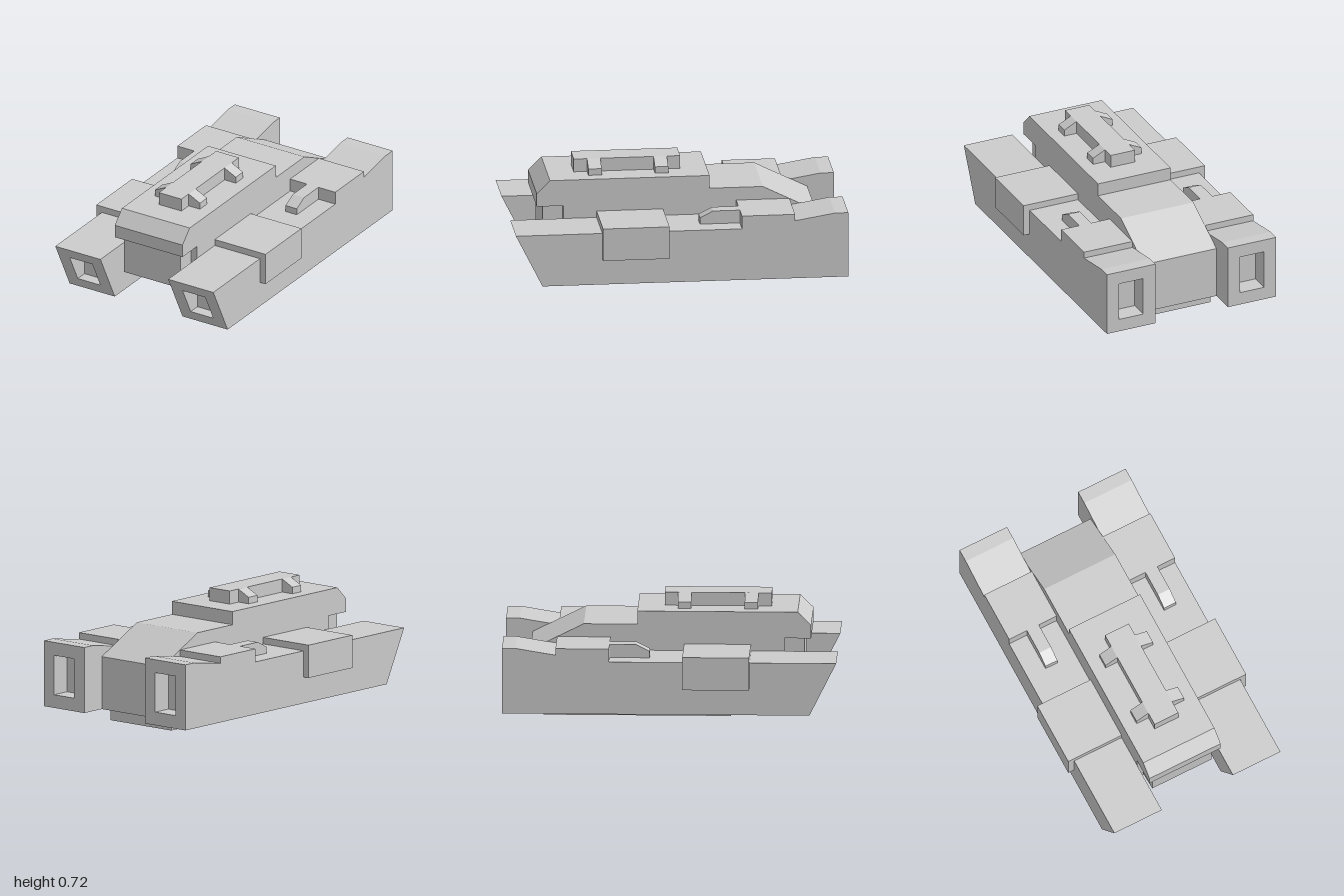
import * as THREE from 'three';

const material = new THREE.MeshStandardMaterial({ color: 0xcccccc, flatShading: true });

function extrude(points, depth) {
  const shape = new THREE.Shape(points.map(([a, b]) => new THREE.Vector2(a, b)));
  return new THREE.ExtrudeGeometry(shape, { depth, bevelEnabled: false });
}

function add(parent, name, geometry) {
  const mesh = new THREE.Mesh(geometry, material);
  mesh.name = name;
  parent.add(mesh);
  return mesh;
}

// Side profile of [z, y] points, spanning x0..x1
function slab(parent, name, points, x0, x1) {
  const geometry = extrude(points, x1 - x0);
  geometry.rotateY(-Math.PI / 2);
  geometry.translate(x1, 0, 0);
  return add(parent, name, geometry);
}

// Axis-aligned box given by its limits
function block(parent, name, x0, x1, y0, y1, z0, z1) {
  const geometry = new THREE.BoxGeometry(x1 - x0, y1 - y0, z1 - z0);
  geometry.translate((x0 + x1) / 2, (y0 + y1) / 2, (z0 + z1) / 2);
  return add(parent, name, geometry);
}

// One long side pod; side is +1 (left) or -1 (right)
function createPod(side) {
  const pod = new THREE.Group();
  pod.name = side > 0 ? 'leftPod' : 'rightPod';
  const span = (a, b) => (side > 0 ? [a, b] : [-b, -a]);

  const top = [[-1, 0.48], [-0.92, 0.48], [-0.68, 0.44], [-0.68, 0.4], [1, 0.4]];
  const outline = [...top, [0.84, 0.08], [-1, 0.08]];
  // The middle slab is notched at both ends to leave the openings
  const notched = [
    ...top,
    [0.965, 0.33], [0.8, 0.33], [0.8, 0.15], [0.875, 0.15],
    [0.84, 0.08], [-1, 0.08],
    [-1, 0.16], [-0.88, 0.16], [-0.88, 0.4], [-1, 0.4],
  ];
  slab(pod, 'podInnerWall', outline, ...span(0.24, 0.32));
  slab(pod, 'podCore', notched, ...span(0.32, 0.48));
  slab(pod, 'podOuterWall', outline, ...span(0.48, 0.56));

  // Raised rear deck with a forward prong
  block(pod, 'rearDeck', ...span(0.24, 0.56), 0.4, 0.48, -0.68, -0.36);
  slab(pod, 'deckProng',
    [[-0.36, 0.4], [-0.36, 0.48], [-0.2, 0.48], [-0.12, 0.44], [-0.12, 0.4]],
    ...span(0.36, 0.44));

  // Armour block wrapping over the outer edge
  block(pod, 'sideArmour', ...span(0.24, 0.6), 0.24, 0.44, 0.08, 0.48);
  return pod;
}

export function createModel() {
  const model = new THREE.Group();
  model.name = 'vehicle';

  // Central hull, with the overhanging cabin at the front
  slab(model, 'hull', [
    [-0.84, 0.08], [-0.84, 0.4], [-0.52, 0.56], [-0.2, 0.56], [-0.2, 0.64],
    [0.76, 0.64], [0.84, 0.56], [0.84, 0.48], [0.68, 0.48], [0.68, 0.18], [0.52, 0.08],
  ], -0.24, 0.24);
  slab(model, 'nosePanel',
    [[0.68, 0.48], [0.8, 0.48], [0.8, 0.24], [0.68, 0.215]], -0.2, 0.2);
  block(model, 'baseKeel', -0.24, 0.24, 0, 0.08, -0.76, 0.36);

  // Roof unit with four sloping arms
  const roof = new THREE.Group();
  roof.name = 'roofUnit';
  model.add(roof);
  block(roof, 'roofSpine', -0.08, 0.08, 0.64, 0.72, -0.04, 0.6);
  for (const side of [1, -1]) {
    for (const z of [0.04, 0.44]) {
      const arm = extrude(
        [[0.08, 0.64], [0.16, 0.64], [0.16, 0.68], [0.08, 0.72]].map(([x, y]) => [x * side, y]),
        0.08);
      arm.translate(0, 0, z);
      add(roof, 'roofArm', arm);
    }
    model.add(createPod(side));
  }
  return model;
}
